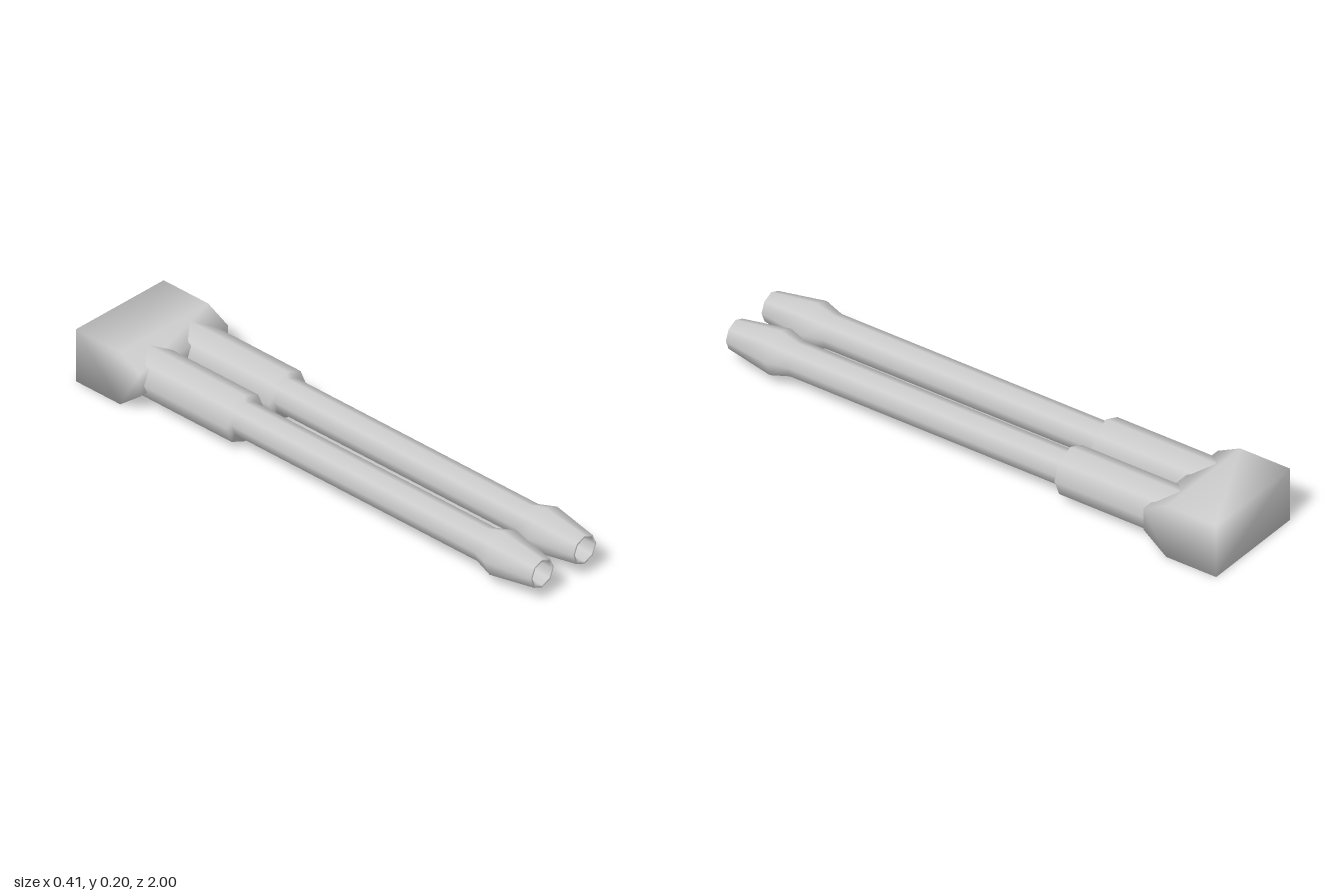
import * as THREE from 'three';
import { mergeVertices } from 'three/addons/utils/BufferGeometryUtils.js';

const material = new THREE.MeshStandardMaterial({ color: 0xcccccc });

// Rear block: a six-sided profile (z, y) with chamfered front, drawn across x and smooth shaded
function createBlock() {
  const width = 0.41;
  const profile = [[-1, 0], [-0.8, 0], [-0.71, 0.07], [-0.71, 0.155], [-0.8, 0.2], [-1, 0.2]];
  const shape = new THREE.Shape(profile.map(([z, y]) => new THREE.Vector2(-z, y)));
  let geometry = new THREE.ExtrudeGeometry(shape, { depth: width, bevelEnabled: false });
  geometry.translate(0, 0, -width / 2);
  geometry.rotateY(Math.PI / 2); // profile x becomes -z, depth becomes x
  geometry.deleteAttribute('normal');
  geometry.deleteAttribute('uv');
  geometry = mergeVertices(geometry);
  geometry.computeVertexNormals();
  const block = new THREE.Mesh(geometry, material);
  block.name = 'rearBlock';
  return block;
}

// Barrel: one eight-sided turned profile (radius, z) with sleeve, tube, flared muzzle and bore
function createBarrel(side) {
  const profile = [
    [0.088, -0.85], [0.088, -0.34],                // sleeve
    [0.062, -0.34], [0.062, 0.75],                 // tube
    [0.083, 0.82], [0.054, 1],                     // muzzle
    [0.046, 1], [0.041, 0.87], [0, 0.87],          // lip and bore
  ];
  const geometry = new THREE.LatheGeometry(profile.map(([r, z]) => new THREE.Vector2(r, z)), 8);
  geometry.rotateX(Math.PI / 2);
  const barrel = new THREE.Mesh(geometry, material);
  barrel.name = side > 0 ? 'leftBarrel' : 'rightBarrel';
  barrel.position.set(side * 0.099, 0.102, 0);
  return barrel;
}

export function createModel() {
  const model = new THREE.Group();
  model.name = 'twinBarrels';
  model.add(createBlock());
  for (const side of [-1, 1]) model.add(createBarrel(side));
  return model;
}
